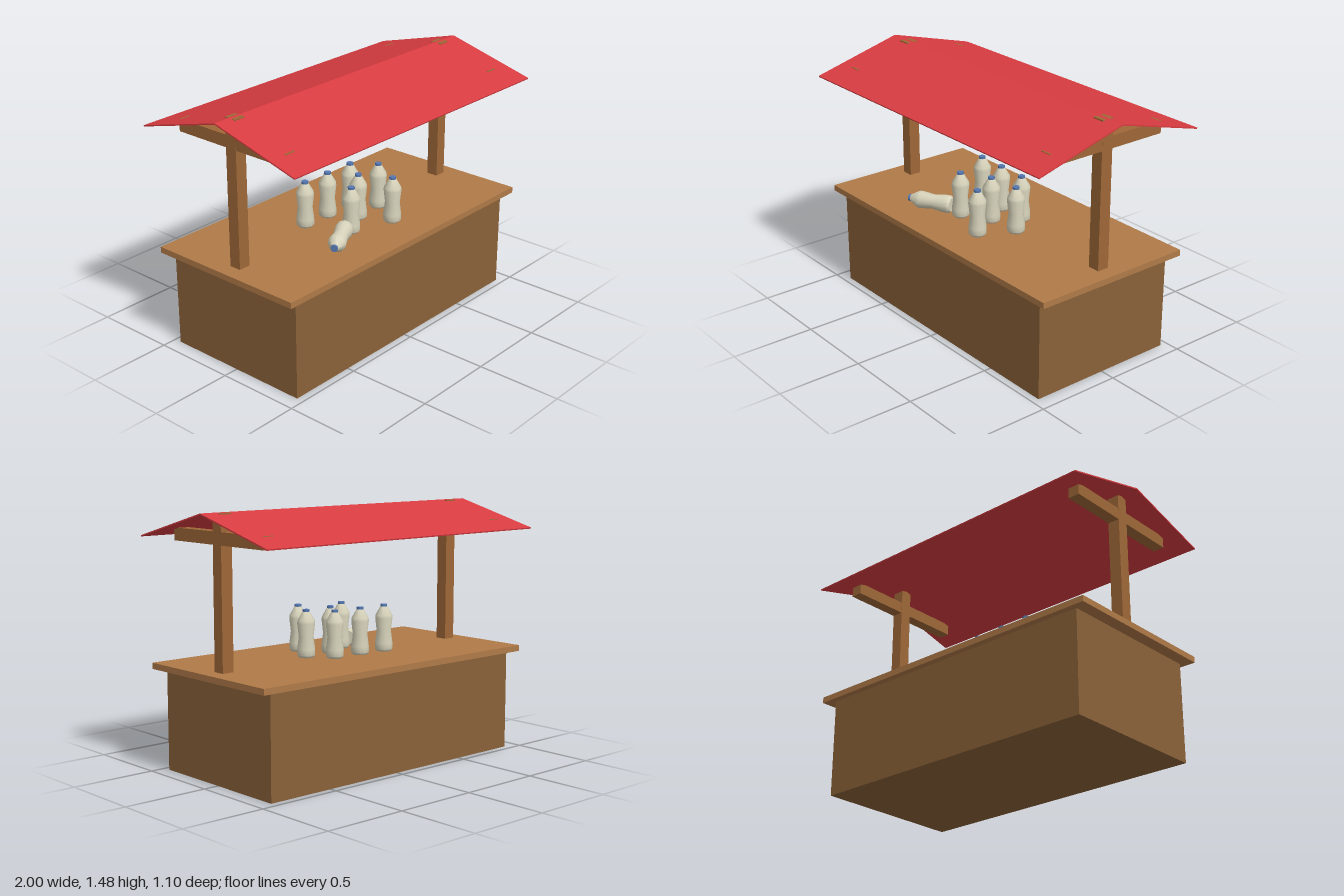
import * as THREE from 'three';
import { toCreasedNormals } from 'three/addons/utils/BufferGeometryUtils.js';

const mat = (color, extra = {}) => {
  const m = new THREE.MeshStandardMaterial({ color });
  return Object.assign(m, extra);
};
const WOOD_BASE = mat(0x8b6239);
const WOOD_TOP = mat(0xb07a48);
const WOOD_POST = mat(0x9f6838);
const CLOTH = mat(0xd83c40);
const MILK = mat(0xd8d4bc);
const CAP = mat(0x5578b0);

const COUNTER_Y = 0.62;

function add(parent, name, geometry, material, x = 0, y = 0, z = 0) {
  const mesh = new THREE.Mesh(geometry, material);
  mesh.name = name;
  mesh.position.set(x, y, z);
  parent.add(mesh);
  return mesh;
}

// Box given by its size and the height of its underside
function box(parent, name, material, w, h, d, x, bottom, z) {
  return add(parent, name, new THREE.BoxGeometry(w, h, d), material, x, bottom + h / 2, z);
}

// Waisted bottle body, standing on its own origin
const bodyProfile = [
  [0, 0], [0.042, 0], [0.052, 0.012], [0.052, 0.05], [0.043, 0.12],
  [0.052, 0.195], [0.05, 0.212], [0.021, 0.262], [0, 0.262],
].map(([r, y]) => new THREE.Vector2(r, y));
const bodyGeometry = toCreasedNormals(new THREE.LatheGeometry(bodyProfile, 12), 0.7);
const capGeometry = new THREE.CylinderGeometry(0.02, 0.02, 0.015, 12);

function makeBottle(name, x, y, z) {
  const bottle = new THREE.Group();
  bottle.name = name;
  add(bottle, 'bottleBody', bodyGeometry, MILK);
  add(bottle, 'bottleCap', capGeometry, CAP, 0, 0.268, 0);
  bottle.position.set(x, y, z);
  return bottle;
}

export function createModel() {
  const stall = new THREE.Group();
  stall.name = 'marketStall';

  // Counter
  box(stall, 'counterBase', WOOD_BASE, 1.82, 0.585, 0.914, 0, 0, 0);
  box(stall, 'counterTop', WOOD_TOP, 1.966, 0.035, 0.99, 0, 0.585, 0);

  // Posts and cross beams; their corners just pierce the roof
  for (const side of [1, -1]) {
    const label = side > 0 ? 'left' : 'right';
    box(stall, label + 'Post', WOOD_POST, 0.072, 0.854, 0.072, side * 0.857, COUNTER_Y, 0);
    box(stall, label + 'CrossBeam', WOOD_POST, 0.07, 0.071, 0.776, side * 0.857, 1.305, 0);
  }

  // Thin gabled roof, a chevron run along x
  const chevron = new THREE.Shape([
    [-0.55, 1.322], [0, 1.469], [0.55, 1.322], [0.552, 1.329], [0, 1.477], [-0.552, 1.329],
  ].map(([z, y]) => new THREE.Vector2(z, y)));
  const roof = new THREE.ExtrudeGeometry(chevron, { depth: 2, bevelEnabled: false });
  roof.translate(0, 0, -1).rotateY(Math.PI / 2);
  add(stall, 'roof', roof, CLOTH);

  // Standing bottles
  const bottles = new THREE.Group();
  bottles.name = 'bottles';
  stall.add(bottles);
  [
    [-0.25, -0.083], [-0.065, -0.078], [0.125, -0.072], [-0.138, 0.166],
    [0.03, 0.073], [0.126, 0.249], [0.23, 0.055],
  ].forEach(([x, z], i) => bottles.add(makeBottle('standingBottle' + (i + 1), x, COUNTER_Y, z)));

  // One bottle fallen on its side
  const fallen = makeBottle('fallenBottle', -0.205, COUNTER_Y + 0.05, 0.18);
  fallen.quaternion.setFromUnitVectors(
    new THREE.Vector3(0, 1, 0), new THREE.Vector3(-0.24, 0, 0.13).normalize());
  bottles.add(fallen);

  return stall;
}
